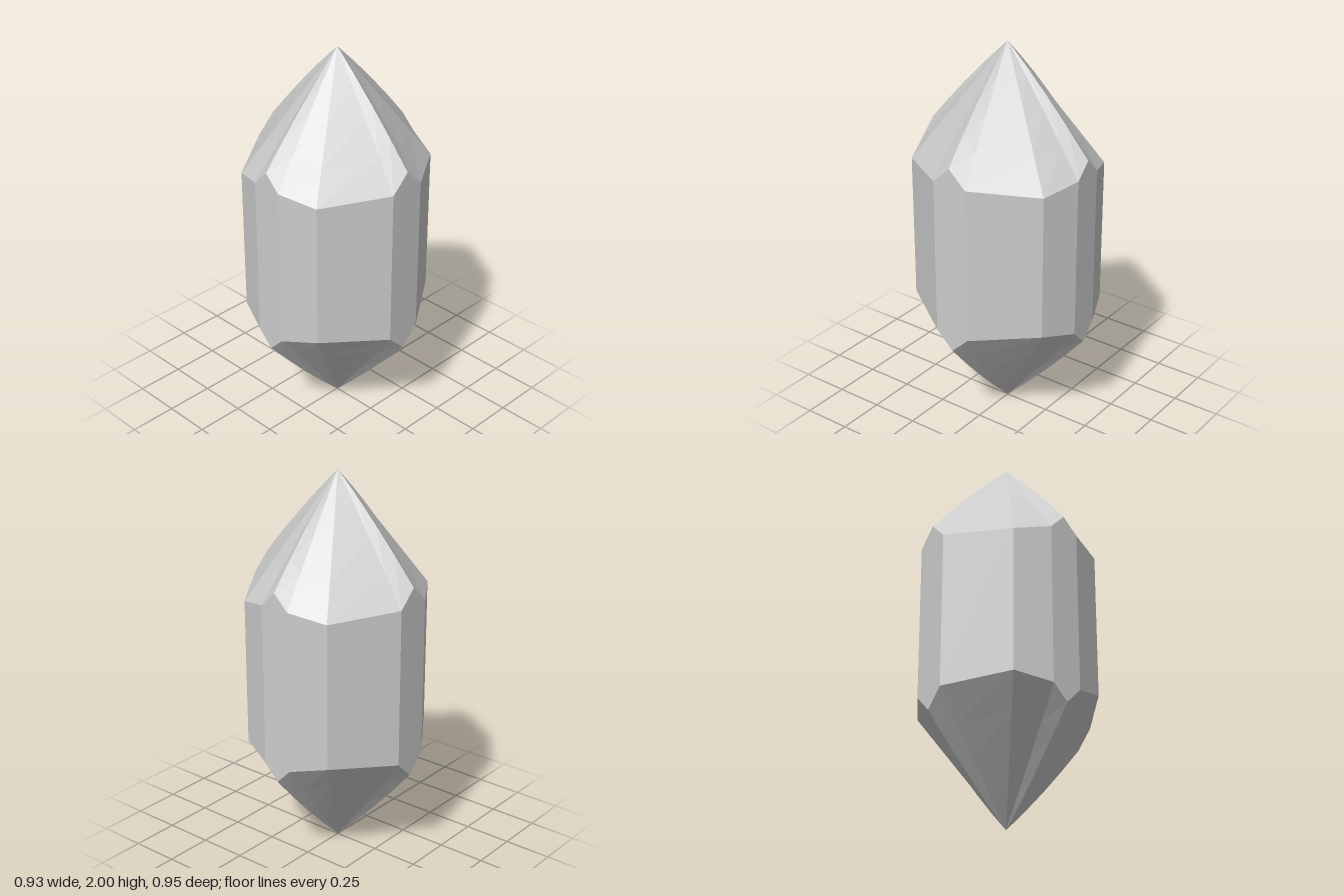
import * as THREE from 'three';

// One quarter of the outline, from +z round to +x: x, z, height of the shoulder, bulge of the tip
const quarter = [
  [0, 0.473, 1.5, 0.06],
  [0.08, 0.473, 1.42, 0.03],
  [0.26, 0.4, 1.38, 0],
  [0.464, 0.095, 1.41, 0.03],
];
const axisX = [0.464, 0, 1.5, 0.06];

// Mirror the quarter into a full outline, counter-clockwise seen from above
function fullOutline() {
  const half = [...quarter, axisX, ...quarter.slice(1).reverse().map(([x, z, h, b]) => [x, -z, h, b])];
  return [...half, ...half.map(([x, z, h, b]) => [-x, -z, h, b])];
}

// Ring of points at fraction t from tip (0) to shoulder (1)
function ring(outline, t, top) {
  return outline.map(([x, z, h, bulge]) => {
    const y = 2 + (h - 2) * t + bulge * t * (1 - t);
    return new THREE.Vector3(x * t, top ? y : (2 - y) * 1.01, z * t);
  });
}

function skin(rings) {
  const points = [];
  for (let r = 0; r < rings.length - 1; r++) {
    const lower = rings[r], upper = rings[r + 1], n = lower.length;
    for (let i = 0; i < n; i++) {
      const j = (i + 1) % n;
      if (r > 0) points.push(lower[i], lower[j], upper[j]);
      if (r === 0) points.push(lower[i], upper[j], upper[i]);
      else if (r < rings.length - 2) points.push(lower[i], upper[j], upper[i]);
    }
  }
  const geometry = new THREE.BufferGeometry().setFromPoints(points);
  geometry.computeVertexNormals();
  return geometry;
}

export function createModel() {
  const group = new THREE.Group();
  group.name = 'crystal';
  const outline = fullOutline();
  const steps = [0, 0.25, 0.5, 0.75, 1];

  // Faceted prism with a four-sided point at each end
  const rings = [
    ...steps.map((t) => ring(outline, t, false)),
    ...steps.slice().reverse().map((t) => ring(outline, t, true)),
  ];
  const material = new THREE.MeshStandardMaterial({ color: 0xcccccc, flatShading: true });
  const body = new THREE.Mesh(skin(rings), material);
  body.name = 'crystalBody';
  group.add(body);
  return group;
}
